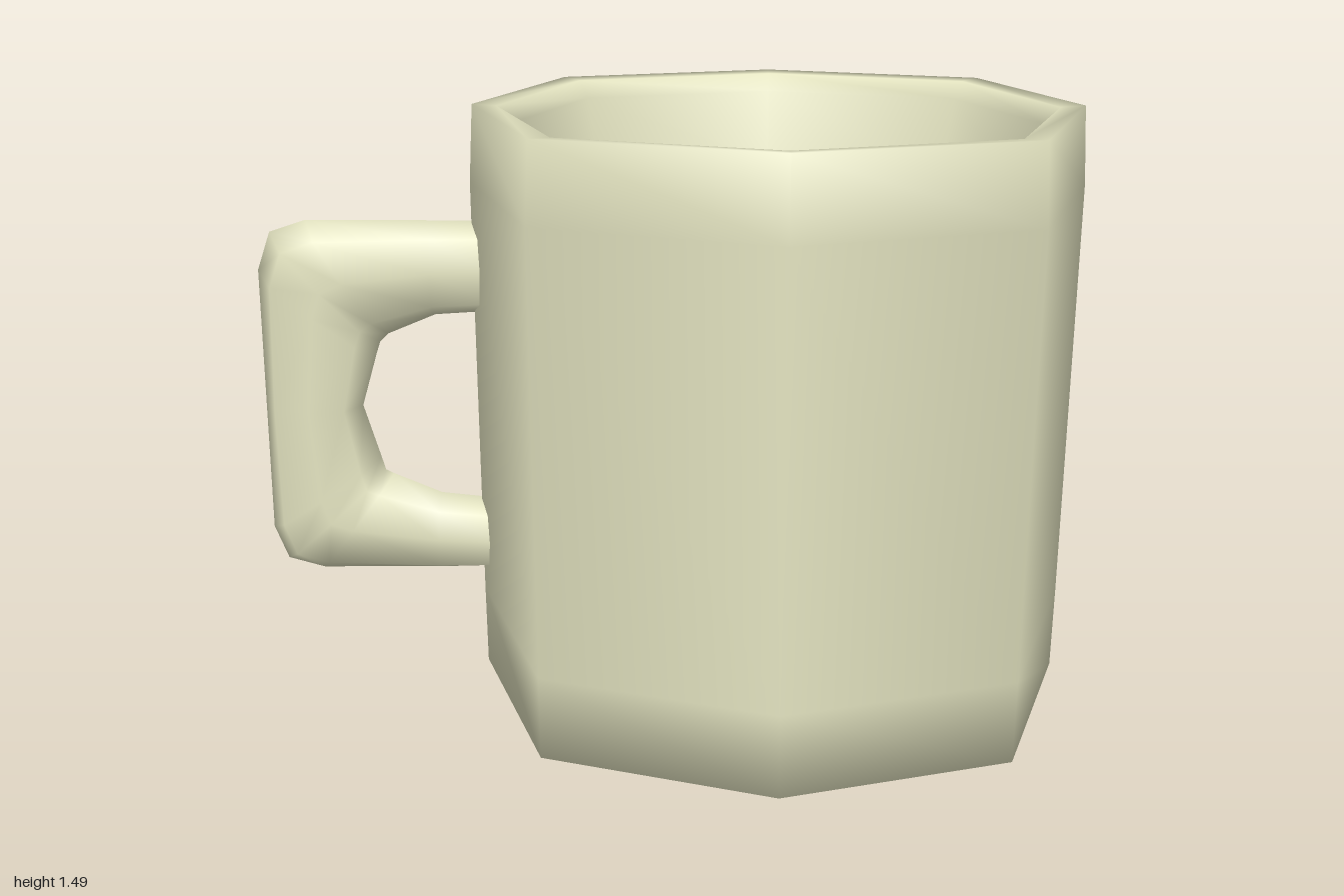
import * as THREE from 'three';

const CENTER_X = 0.265;
const TURN = THREE.MathUtils.degToRad(5.5);

// Push every second corner of an octagonal form outwards, giving a slightly squarish plan
function squareOff(geometry, factor) {
  const p = geometry.attributes.position;
  for (let i = 0; i < p.count; i++) {
    const x = p.getX(i), z = p.getZ(i);
    const diagonal = Math.min(Math.abs(x), Math.abs(z)) > 0.1;
    if (diagonal) p.setXYZ(i, x * factor, p.getY(i), z * factor);
  }
  return geometry;
}

// Eight-sided ring loft between outer and inner edge points of the grip
function handleGeometry(sections, halfWidth, sides = 8) {
  const positions = [], index = [];
  for (const [ox, oy, ix, iy] of sections) {
    for (let j = 0; j < sides; j++) {
      const a = (j / sides) * Math.PI * 2;
      const t = (1 - Math.cos(a)) / 2;
      const s = Math.sin(a);
      const z = Math.sign(s) * Math.sqrt(Math.abs(s)) * halfWidth;
      positions.push(ox + (ix - ox) * t, oy + (iy - oy) * t, z);
    }
  }
  for (let i = 0; i < sections.length - 1; i++) {
    for (let j = 0; j < sides; j++) {
      const k = (j + 1) % sides;
      const a = i * sides + j, b = i * sides + k;
      const c = a + sides, d = b + sides;
      index.push(a, c, b, b, c, d);
    }
  }
  const geometry = new THREE.BufferGeometry();
  geometry.setAttribute('position', new THREE.Float32BufferAttribute(positions, 3));
  geometry.setIndex(index);
  geometry.computeVertexNormals();
  return geometry;
}

export function createModel() {
  const ceramic = new THREE.MeshStandardMaterial({ color: 0xe4e4c1 });
  ceramic.name = 'cream ceramic';
  const drink = new THREE.MeshStandardMaterial({ color: 0xdae0dd });
  drink.name = 'pale grey liquid';

  const model = new THREE.Group();
  model.name = 'mug';
  model.position.x = CENTER_X;
  const turned = new THREE.Group();
  turned.name = 'mugParts';
  turned.rotation.y = -TURN;
  model.add(turned);

  const add = (name, geometry, material) => {
    const mesh = new THREE.Mesh(geometry, material);
    mesh.name = name;
    turned.add(mesh);
    return mesh;
  };

  // Octagonal cup: underside, wall, rim and inner wall
  const profile = [
    [0, 0], [0.55, 0.013], [0.728, 0.048], [0.731, 0.25], [0.739, 1.3],
    [0.729, 1.488], [0.67, 1.484], [0.645, 1.44], [0.6, 1.26],
  ].map(([r, y]) => new THREE.Vector2(r, y));
  add('cup', squareOff(new THREE.LatheGeometry(profile, 8), 1.06), ceramic);

  // Liquid surface
  const liquid = new THREE.CircleGeometry(0.605, 8);
  liquid.rotateX(-Math.PI / 2);
  add('liquid', squareOff(liquid, 1.06), drink).position.y = 1.28;

  // Handle sections: outer x, outer y, inner x, inner y
  const sections = [
    [-0.42, 1.205, -0.42, 0.98],
    [-0.57, 1.205, -0.57, 0.97],
    [-0.88, 1.205, -0.69, 0.92],
    [-0.97, 1.175, -0.71, 0.9],
    [-1.003, 1.08, -0.72, 0.87],
    [-1.003, 0.74, -0.76, 0.735],
    [-1.003, 0.41, -0.72, 0.6],
    [-0.97, 0.325, -0.71, 0.565],
    [-0.88, 0.3, -0.69, 0.555],
    [-0.57, 0.303, -0.57, 0.505],
    [-0.42, 0.308, -0.42, 0.49],
  ];
  const handle = handleGeometry(sections, 0.082);
  handle.translate(-CENTER_X, 0, -0.008);
  add('handle', handle, ceramic);

  return model;
}
